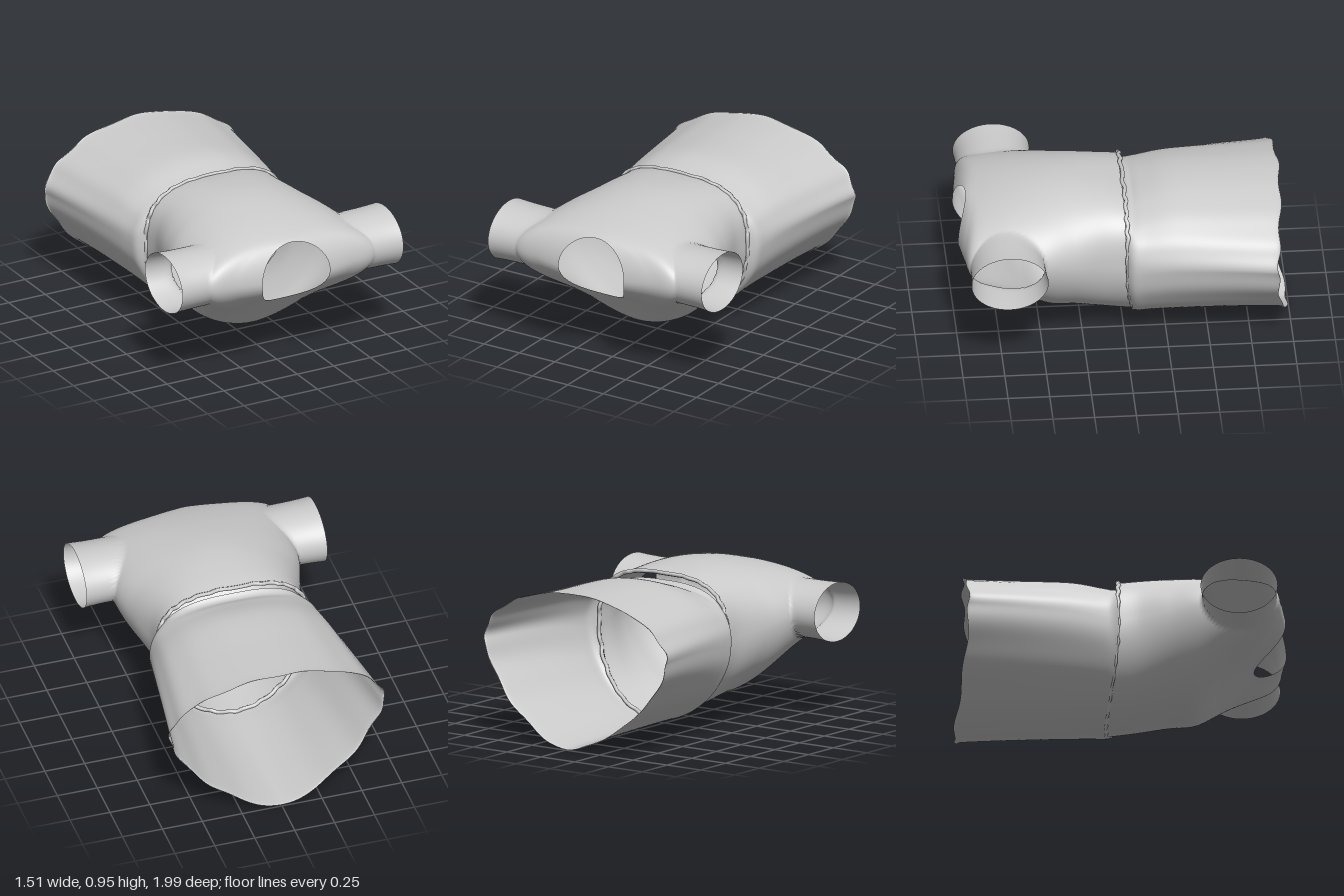
import * as THREE from 'three';

const SEG = 160;
const fabric = new THREE.MeshStandardMaterial({ color: 0xcccccc, side: THREE.DoubleSide });

// Each ring: half width, side z, side y, top y, top z, bottom y, bottom z, upper power, lower power
const BODICE = [
  [0.47, 0.0, 0.55, 0.925, 0.0, 0.055, -0.08, 2.9, 1.95],
  [0.475, 0.12, 0.58, 0.945, 0.12, 0.075, 0.08, 2.6, 1.95],
  [0.525, 0.3, 0.6, 0.96, 0.3, 0.11, 0.28, 2.2, 1.85],
  [0.575, 0.48, 0.63, 0.955, 0.46, 0.135, 0.45, 2, 1.8],
  [0.595, 0.7, 0.65, 0.932, 0.63, 0.26, 0.6, 2, 1.85],
  [0.6, 0.85, 0.655, 0.905, 0.76, 0.34, 0.69, 2, 1.9],
  [0.56, 0.943, 0.655, 0.88, 0.85, 0.395, 0.755, 2, 2],
  [0.4, 0.97, 0.65, 0.862, 0.9, 0.42, 0.785, 2, 2],
  [0.23, 0.99, 0.637, 0.845, 0.93, 0.43, 0.8, 2, 2],
];
const SKIRT = [
  [0.675, -0.9, 0.6, 0.952, -0.945, 0.008, -0.995, 1.9, 1.55],
  [0.66, -0.86, 0.6, 0.945, -0.9, 0.015, -0.95, 1.9, 1.55],
  [0.62, -0.6, 0.6, 0.94, -0.6, 0.025, -0.7, 1.95, 1.6],
  [0.575, -0.3, 0.59, 0.935, -0.3, 0.035, -0.4, 2.05, 1.7],
  [0.545, -0.12, 0.57, 0.89, -0.12, 0.042, -0.2, 2.3, 1.8],
  [0.525, -0.04, 0.56, 0.865, -0.05, 0.045, -0.1, 2.6, 1.9],
  [0.475, 0.0, 0.55, 0.885, -0.01, 0.055, -0.075, 2.8, 1.95],
];

// Smoothly blends the key rings, t in 0..1
function ringAt(keys, t) {
  const f = t * (keys.length - 1);
  const k = Math.min(Math.floor(f), keys.length - 2);
  const u = f - k;
  const key = (i) => keys[Math.max(0, Math.min(keys.length - 1, i))];
  return keys[0].map((_, c) => {
    const [p, q, r, s] = [key(k - 1)[c], key(k)[c], key(k + 1)[c], key(k + 2)[c]];
    const m0 = (r - p) / 2, m1 = (s - q) / 2;
    return q + m0 * u + (3 * (r - q) - 2 * m0 - m1) * u * u + (2 * (q - r) + m0 + m1) * u * u * u;
  });
}

// Point of a ring: rounded outline whose top and bottom lean in z
function ringPoint([w, zs, ys, yt, zt, yb, zb, nu, nl], angle) {
  const c = Math.cos(angle), s = Math.sin(angle);
  const up = s >= 0;
  const e = 2 / (up ? nu : nl);
  const h = Math.abs(s) ** e;
  return new THREE.Vector3(
    w * Math.sign(c) * Math.abs(c) ** e,
    ys + ((up ? yt : yb) - ys) * h,
    zs + ((up ? zt : zb) - zs) * h * h
  );
}

// Skin through the rings; shape(point, angle, t) may move a point and returns its patch name
function loft(keys, rows, shape) {
  const pos = [], tags = [], patches = {};
  for (let j = 0; j <= rows; j++) {
    const ring = ringAt(keys, j / rows);
    for (let i = 0; i < SEG; i++) {
      const angle = (i / SEG) * Math.PI * 2;
      const p = ringPoint(ring, angle);
      tags.push(shape(p, angle, j / rows));
      pos.push(p.x, p.y, p.z);
    }
  }
  const all = [];
  const face = (...f) => {
    const names = f.map((v) => tags[v]);
    if (names.every((n) => n === 'opening')) return;
    const name = names.find((n) => n !== 'opening' && n !== 'bodice') ?? names.find((n) => n !== 'opening');
    (patches[name] ??= []).push(...f);
    all.push(...f);
  };
  for (let j = 0; j < rows; j++) {
    for (let i = 0; i < SEG; i++) {
      const n = (i + 1) % SEG;
      const a = j * SEG + i, b = j * SEG + n, c = a + SEG, d = b + SEG;
      face(a, b, c);
      face(b, d, c);
    }
  }
  const base = new THREE.BufferGeometry();
  base.setAttribute('position', new THREE.Float32BufferAttribute(pos, 3));
  base.setIndex(all);
  base.computeVertexNormals();
  // The patches share vertices, so shading runs on across their joins
  return Object.entries(patches).map(([name, index]) => {
    const g = new THREE.BufferGeometry();
    g.setAttribute('position', base.getAttribute('position'));
    g.setAttribute('normal', base.getAttribute('normal'));
    g.setIndex(index);
    const mesh = new THREE.Mesh(g, fabric);
    mesh.name = name;
    return mesh;
  });
}

// Draws the side of the bodice out into an open sleeve
function pullSleeve(p) {
  const cy = 0.657, cz = 0.718, ry = 0.172, rz = 0.222;
  const dy = (p.y - cy) / ry, dz = (p.z - cz) / rz;
  const r = Math.hypot(dy, dz);
  if (Math.abs(p.x) < 0.3 || r >= 1) return 'bodice';
  const side = Math.sign(p.x);
  const t = Math.min(1, (1 - r) / 0.5);
  const k = (1 + 0.04 * t * t) / Math.max(r, 1e-4);
  p.set(side * THREE.MathUtils.lerp(Math.abs(p.x), 0.755, t), cy + dy * ry * k, cz + dz * rz * k);
  if (r < 0.5) return 'opening';
  return side > 0 ? 'leftSleeve' : 'rightSleeve';
}

// Soft folds and a wavy hem that fade towards the waist
function foldSkirt(p, angle, t) {
  const k = 1 + 0.009 * (1 - t) * Math.sin(angle * 15 + 0.6) * Math.abs(Math.cos(angle));
  p.x *= k;
  p.y = 0.58 + (p.y - 0.58) * k;
  p.z += 0.008 * (1 - t) ** 4 * Math.sin(angle * 11);
  return 'skirt';
}

export function createModel() {
  const dress = new THREE.Group();
  dress.name = 'dress';
  dress.add(...loft(BODICE, 110, pullSleeve), ...loft(SKIRT, 50, foldSkirt));

  // Gathered seam around the waist
  const seam = [];
  for (let i = 0; i < 72; i++) {
    const angle = (i / 72) * Math.PI * 2;
    const p = ringPoint(BODICE[0], angle);
    p.z += 0.006 * Math.sin(i * 2.3) - 0.01;
    p.x *= 1.01 + 0.006 * Math.sin(i * 1.7);
    seam.push(p);
  }
  const waist = new THREE.Mesh(
    new THREE.TubeGeometry(new THREE.CatmullRomCurve3(seam, true), 216, 0.013, 6, true), fabric);
  waist.name = 'waistSeam';
  dress.add(waist);
  return dress;
}
